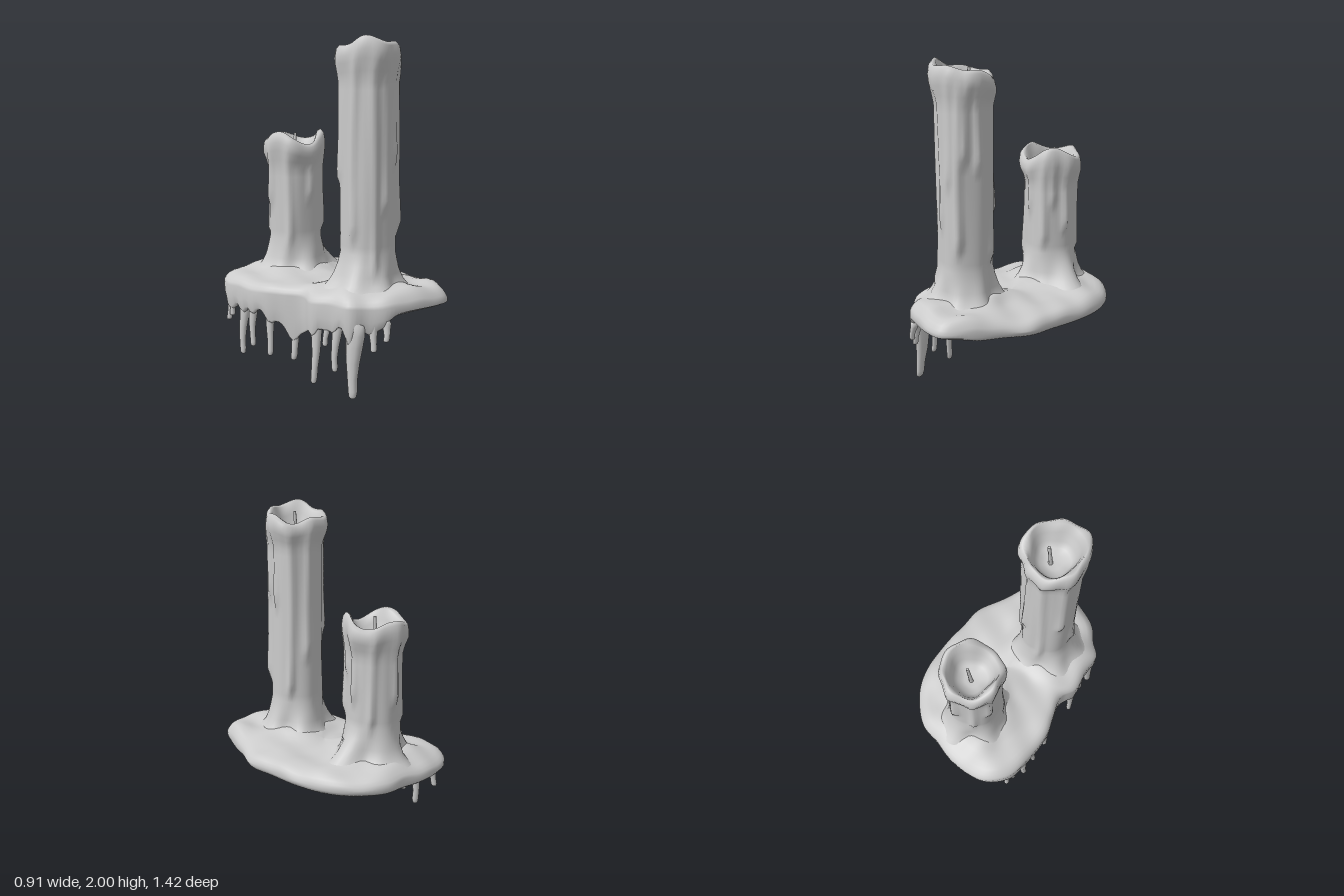
import * as THREE from 'three';

const wax = new THREE.MeshStandardMaterial({ color: 0xcccccc, side: THREE.DoubleSide });
const smooth = THREE.MathUtils.smoothstep;
const bell = (d, w) => Math.exp(-(d * d) / (w * w));
const turn = (a, b) => Math.atan2(Math.sin(a - b), Math.cos(a - b));

// Skins a stack of closed rings (arrays of Vector3, bottom to top).
function loft(rings, name) {
  const n = rings[0].length, pos = [], idx = [];
  rings.forEach(r => r.forEach(p => pos.push(p.x, p.y, p.z)));
  for (let i = 0; i < rings.length - 1; i++) {
    for (let j = 0; j < n; j++) {
      const k = (j + 1) % n;
      const a = i * n + j, b = i * n + k, c = a + n, d = b + n;
      idx.push(a, c, b, b, c, d);
    }
  }
  const g = new THREE.BufferGeometry();
  g.setAttribute('position', new THREE.Float32BufferAttribute(pos, 3));
  g.setIndex(idx);
  g.computeVertexNormals();
  const mesh = new THREE.Mesh(g, wax);
  mesh.name = name;
  return mesh;
}

// Candles: ridges are [angle, lower end, thickness]; rim is a height by angle;
// spread is the angle where the foot runs out furthest.
const candles = [
  { name: 'tallCandle', x: -0.113, z: 0.285, H: 1.945, wick: [-0.09, 0.27, 1.95], spread: 3.0,
    rim: a => 0.035 * Math.cos(a - 2.3) + 0.01 * Math.sin(3 * a) + 0.01 * Math.sin(5 * a + 1),
    ridges: [[1.0, 0.92, 0.03], [0.72, 1.45, 0.026], [-0.4, 0.85, 0.028], [0.25, 1.4, 0.022], [1.4, 1.3, 0.016],
      [1.85, 1.05, 0.018], [2.3, 0.7, 0.02], [3.05, 0.88, 0.026], [3.8, 1.2, 0.022], [4.5, 0.75, 0.022], [5.2, 1.1, 0.024]] },
  { name: 'shortCandle', x: 0.005, z: -0.355, H: 1.405, wick: [0.015, -0.365, 1.42], spread: 0.3,
    rim: a => 0.028 * Math.cos(3 * a - 2.6) + 0.015 * Math.sin(2 * a + 0.6),
    ridges: [[0.3, 0.95, 0.026], [-0.5, 0.8, 0.026], [0.75, 1.1, 0.018], [1.1, 0.85, 0.024], [1.8, 1.05, 0.02], [2.7, 0.75, 0.024],
      [3.5, 1.0, 0.024], [4.2, 0.8, 0.02], [4.9, 0.95, 0.028]] },
];

function candle({ name, x, z, H, wick, spread, rim, ridges }) {
  // profile as [height, radius]: flared foot, shaft, swollen lip, melted bowl
  const profile = [[0.565, 0.25], [0.585, 0.225], [0.615, 0.2], [0.66, 0.182], [0.72, 0.17]];
  const rows = Math.round((H - 0.95) / 0.045);
  for (let i = 0; i <= rows; i++) profile.push([0.78 + (H - 0.98) * i / rows, 0.158]);
  profile.push([H - 0.15, 0.167], [H - 0.1, 0.183], [H - 0.06, 0.188], [H - 0.02, 0.182], [H, 0.165]);
  const lip = profile.length;
  profile.push([H - 0.01, 0.148], [H - 0.06, 0.128], [H - 0.12, 0.11], [H - 0.155, 0.085], [H - 0.165, 0.045], [H - 0.165, 0]);

  const rings = profile.map(([y, r], i) => Array.from({ length: 60 }, (_, j) => {
    const a = j / 60 * Math.PI * 2;
    let R = r, Y = y;
    if (i < lip) {
      R += 0.004 * Math.sin(5 * a + y * 1.5) + 0.004 * Math.sin(3 * a - 2 * y);
      for (const [ra, end, h] of ridges) {
        const bent = ra + 0.05 * Math.sin(4 * y + ra * 3);
        const run = smooth(y, end - 0.05, end + 0.03) * (1 - 0.4 * smooth(y, end, end + 0.3));
        R += h * bell(turn(a, bent), 0.13) * run * (1 - smooth(y, H - 0.16, H - 0.03));
      }
      R += (1 - smooth(y, 0.57, 0.75)) * (0.02 * Math.sin(4 * a + x * 9) + 0.012 * Math.sin(7 * a));
      R += 0.05 * bell(turn(a, spread), 0.5) * (1 - smooth(y, 0.57, 0.78));
      R += (0.008 * Math.sin(3 * a + 1) + 0.004 * Math.sin(8 * a + x * 20)) * smooth(y, H - 0.2, H - 0.08);
    } else {
      R *= 1 + 0.05 * Math.sin(3 * a + 1) + 0.03 * Math.sin(5 * a);
    }
    const w = i < lip ? smooth(y, H - 0.22, H) : smooth(y, H - 0.15, H);
    Y += rim(a) * w;
    return new THREE.Vector3(x + R * Math.cos(a), Math.min(Y, 2), z + R * Math.sin(a));
  }));

  const group = new THREE.Group();
  group.name = name;
  group.add(loft(rings, name + 'Wax'));
  const stick = new THREE.Mesh(new THREE.CylinderGeometry(0.009, 0.013, 0.18, 6), wax);
  stick.name = name + 'Wick';
  stick.position.set(wick[0], wick[2] - 0.09, wick[1]);
  stick.rotation.z = -0.1;
  group.add(stick);
  return group;
}

// Outline of the wax pool as [x, z].
const outline = new THREE.CatmullRomCurve3([
  [-0.15, -0.71], [0, -0.69], [0.12, -0.645], [0.25, -0.605], [0.39, -0.45], [0.445, -0.3], [0.45, -0.1], [0.42, 0.1],
  [0.395, 0.27], [0.3, 0.41], [0.2, 0.58], [0.1, 0.7], [0, 0.7], [-0.15, 0.65], [-0.31, 0.565], [-0.38, 0.47],
  [-0.445, 0.4], [-0.44, 0.27], [-0.45, 0.13], [-0.395, 0.03], [-0.42, -0.1], [-0.45, -0.22], [-0.435, -0.42], [-0.39, -0.59], [-0.28, -0.69],
].map(([x, z]) => new THREE.Vector3(x, 0, z)), true, 'centripetal').getSpacedPoints(160).slice(0, 160);

// Hanging drips along the right edge: [z, lowest point, radius at the top].
const drips = [
  [0.55, 0.33, 0.025], [0.49, 0.27, 0.028], [0.4, 0, 0.062], [0.28, 0.13, 0.03], [0.22, 0.27, 0.022], [0.14, 0.03, 0.035],
  [-0.05, 0.12, 0.036], [-0.2, 0.13, 0.03], [-0.34, 0.16, 0.028], [-0.43, 0.09, 0.034], [-0.53, 0.31, 0.025], [-0.575, 0.27, 0.028],
];

// Lower edge of the pool: level, except for the curtain on the right.
function lowEdge(p) {
  const w = smooth(-p.x, 0.24, 0.38);
  let drop = 0.05 + 0.12 * bell(p.z + 0.02, 0.15);
  for (const [z, , r] of drips) drop += 1.6 * r * bell(p.z - z, 0.035);
  return 0.46 - w * drop + 0.025 * smooth(p.z, 0.5, 0.7);
}

// Top surface, heaped up around each candle and rounded off at the rim.
function topHeight(x, z, s) {
  let y = 0.572 - 0.04 * Math.pow(s, 14) - 0.02 * Math.pow(s, 40);
  y += 0.025 * smooth(z, 0.4, 0.6) * smooth(s, 0.5, 0.9) * (1 - 0.6 * smooth(s, 0.92, 1));
  y += 0.009 * Math.sin(9 * x + 5 * z) * Math.sin(11 * z - 4 * x) + 0.006 * Math.sin(23 * x - 9 * z) * Math.sin(19 * z + 8 * x);
  for (const c of candles) {
    const d = Math.max(0, Math.hypot(x - c.x, z - c.z) - 0.17);
    const a = Math.atan2(z - c.z, x - c.x);
    y += 0.04 * bell(d, 0.09 + 0.03 * Math.sin(5 * a)) * (1 - smooth(s, 0.85, 1));
  }
  return y - 0.01 * smooth(x, 0.1, 0.45);
}

function pool() {
  const ring = (s, height) => outline.map(p => new THREE.Vector3(p.x * s, height(p), p.z * s));
  const top = s => ring(s, p => topHeight(p.x * s, p.z * s, s));
  const steps = [0, 0.08, 0.17, 0.26, 0.34, 0.42, 0.49, 0.56, 0.63, 0.69, 0.75, 0.81, 0.87, 0.92, 0.96, 0.985, 1];
  // hollow underside just below the top, then the rim, then the top surface
  const rings = steps.slice(0, 12).map(s => ring(s, p => topHeight(p.x * s, p.z * s, s) - 0.025 - 0.03 * smooth(s, 0.6, 0.85)));
  rings.push(
    ring(0.89, p => (lowEdge(p) + 0.5) / 2), ring(0.93, p => lowEdge(p) + 0.012),
    ring(0.965, lowEdge), ring(0.987, p => lowEdge(p) + 0.012), ring(1, p => (lowEdge(p) + 0.51) / 2),
    ...steps.reverse().map(top),
  );
  return loft(rings, 'waxPool');
}

function drip([z, bottom, r], i) {
  // hang from the nearest point of the outline, outer side flush with the edge
  const p = outline.filter(q => q.x < -0.2).reduce((a, b) => Math.abs(a.z - z) < Math.abs(b.z - z) ? a : b);
  const top = 0.46;
  const tip = 0.012 + r * 0.18;
  // profile as [height, swelling]; the last rows close the drip inside the curtain
  const profile = [[0, 0], [0.012, 0.6], [0.04, 1], [0.1, 1.1], [0.25, 1], [0.45, 1.15], [0.65, 1.35], [0.8, 1.5], [0.92, 1], [1, 0]];
  const rings = profile.map(([t, k]) => Array.from({ length: 10 }, (_, j) => {
    const a = j / 10 * Math.PI * 2;
    const R = tip * k + Math.max(0, r - tip * 1.2) * t * Math.min(1, k);
    const deep = Math.min(0.8 * R, 0.024 + 0.25 * r);
    const x = p.x + 0.006 + 0.008 * t + Math.max(deep, 0.8 * tip);
    const sway = 0.006 * Math.sin(6 * t + i);
    return new THREE.Vector3(x + deep * Math.cos(a), bottom + (top - bottom) * t, z + sway + R * Math.sin(a));
  }));
  return loft(rings, 'drip' + (i + 1));
}

export function createModel() {
  const model = new THREE.Group();
  model.name = 'meltedCandles';
  model.add(pool());
  candles.forEach(c => model.add(candle(c)));
  const hanging = new THREE.Group();
  hanging.name = 'hangingDrips';
  drips.forEach((d, i) => hanging.add(drip(d, i)));
  model.add(hanging);
  return model;
}
